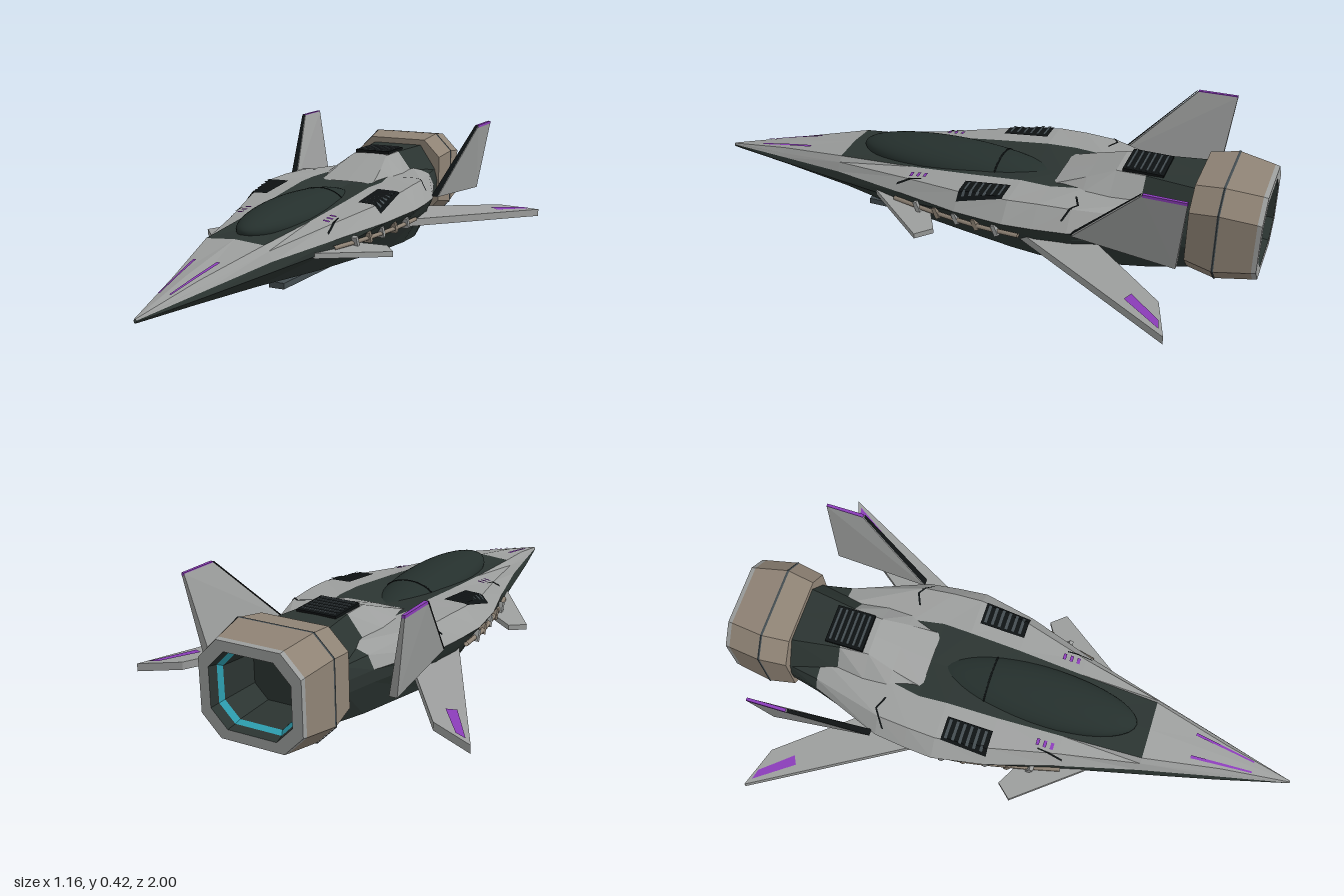
import * as THREE from 'three';

const mat = (name, color) => {
  const m = new THREE.MeshStandardMaterial({ color, side: THREE.DoubleSide });
  m.name = name;
  return m;
};

export function createModel() {
  const root = new THREE.Group();
  root.name = 'starfighter';
  const grey = mat('hull grey', 0x9c9e9d), dark = mat('dark hull', 0x2b3431);
  const taupe = mat('nozzle taupe', 0x8f8375), black = mat('black trim', 0x0e1213);
  const purple = mat('purple marking', 0x8a3cb8), teal = mat('engine glow', 0x2fa3b5);
  const glass = mat('canopy glass', 0x25302d), steel = mat('rail steel', 0x434c50);

  // Flat-shaded mesh from convex polygons; side -1 mirrors it across x
  function add(name, material, faces, side = 1) {
    const pos = [];
    for (const f of faces) {
      for (let i = 1; i < f.length - 1; i++) {
        const tri = side > 0 ? [f[0], f[i], f[i + 1]] : [f[0], f[i + 1], f[i]];
        for (const p of tri) pos.push(p[0] * side, p[1], p[2]);
      }
    }
    const g = new THREE.BufferGeometry();
    g.setAttribute('position', new THREE.Float32BufferAttribute(pos, 3));
    g.computeVertexNormals();
    const mesh = new THREE.Mesh(g, material);
    mesh.name = name;
    root.add(mesh);
    return mesh;
  }
  const both = (name, material, faces) => {
    add(name + 'Left', material, faces, 1);
    add(name + 'Right', material, faces, -1);
  };

  // Quads joining successive rows of points
  const skin = (rows) => {
    const out = [];
    for (let i = 0; i < rows.length - 1; i++)
      for (let j = 0; j < rows[i].length - 1; j++)
        out.push([rows[i][j], rows[i + 1][j], rows[i + 1][j + 1], rows[i][j + 1]]);
    return out;
  };

  // Convex solid between two matching outlines, all faces turned outward
  function prism(a, b) {
    const mean = (ps) => [0, 1, 2].map((k) => ps.reduce((s, p) => s + p[k], 0) / ps.length);
    const c = new THREE.Vector3(...mean([...a, ...b]));
    const faces = [a, b, ...a.map((p, i) => {
      const n = (i + 1) % a.length;
      return [p, b[i], b[n], a[n]];
    })];
    return faces.map((f) => {
      const [p, q, r] = f.map((v) => new THREE.Vector3(...v));
      const normal = q.sub(p).cross(r.sub(p));
      return normal.dot(new THREE.Vector3(...mean(f)).sub(c)) < 0 ? [...f].reverse() : f;
    });
  }

  // Half sections: z, then bottom edge, side, shell edge, shell crease, shell inner edge, centre height
  const sections = [
    [1.0, [0.002, 0.047], [0.004, 0.052], [0.004, 0.055], [0.003, 0.058], [0.002, 0.06], 0.06],
    [0.75, [0.035, 0.04], [0.073, 0.07], [0.066, 0.086], [0.058, 0.098], [0.045, 0.114], 0.122],
    [0.48, [0.08, 0.034], [0.142, 0.09], [0.135, 0.12], [0.12, 0.15], [0.105, 0.168], 0.176],
    [0.2, [0.15, 0.03], [0.212, 0.11], [0.212, 0.14], [0.18, 0.182], [0.118, 0.192], 0.188],
    [-0.03, [0.19, 0.028], [0.262, 0.128], [0.285, 0.16], [0.24, 0.212], [0.13, 0.218], 0.2],
    [-0.21, [0.22, 0.028], [0.29, 0.138], [0.32, 0.175], [0.265, 0.235], [0.135, 0.238], 0.212],
    [-0.31, [0.23, 0.028], [0.295, 0.14], [0.312, 0.176], [0.26, 0.24], [0.14, 0.24], 0.22],
    [-0.42, [0.228, 0.028], [0.28, 0.142], [0.298, 0.178], [0.25, 0.24], [0.12, 0.246], 0.23],
    [-0.67, [0.16, 0.03], [0.198, 0.14], [0.2, 0.18], [0.18, 0.222], [0.11, 0.245], 0.24],
    [-0.78, [0.12, 0.034], [0.17, 0.14], [0.172, 0.18], [0.16, 0.222], [0.11, 0.24], 0.24],
  ];
  const rows = sections.map(([z, b, s, w, m, i, c]) =>
    [[0, b[1], z], [...b, z], [...s, z], [...w, z], [...m, z], [...i, z], [0, c, z]]);
  const part = (r0, r1, c0, c1) => skin(rows.slice(r0, r1 + 1).map((r) => r.slice(c0, c1 + 1)));

  // Fuselage
  both('lowerHull', dark, part(0, 9, 0, 3));
  both('nosePanel', grey, part(0, 2, 3, 6));
  both('shoulderShell', grey, part(2, 8, 3, 5));
  both('cockpitDeck', dark, part(2, 9, 5, 6));
  both('engineNeck', dark, part(8, 9, 3, 5));

  // Height of the upper shell at x, z
  function topY(x, z) {
    let k = 0;
    while (k < rows.length - 2 && rows[k + 1][0][2] > z) k++;
    const t = (rows[k][0][2] - z) / (rows[k][0][2] - rows[k + 1][0][2]);
    const prof = [3, 4, 5, 6].map((j) =>
      [0, 1].map((a) => rows[k][j][a] + (rows[k + 1][j][a] - rows[k][j][a]) * t));
    for (let j = 0; j < 3; j++) {
      const [p, q] = [prof[j], prof[j + 1]];
      if (x >= q[0]) return p[1] + (q[1] - p[1]) * Math.min(1, Math.max(0, (p[0] - x) / (p[0] - q[0])));
    }
    return prof[3][1];
  }
  // Thin painted quad draped on the shell; corners are [x, z]
  function drape(name, material, [a, b, c, d], lift = 0.004, n = 8) {
    const mix = (p, q, t) => [p[0] + (q[0] - p[0]) * t, p[1] + (q[1] - p[1]) * t];
    const grid = Array.from({ length: n + 1 }, (_, i) => Array.from({ length: n + 1 }, (_, j) => {
      const [x, z] = mix(mix(a, b, j / n), mix(d, c, j / n), i / n);
      return [x, topY(x, z) + lift, z];
    }));
    both(name, material, skin(grid));
  }
  const rect = (x0, x1, z0, z1) => [[x1, z1], [x0, z1], [x0, z0], [x1, z0]];

  // Shoulder vents with slats
  drape('shoulderVent', black, rect(0.18, 0.265, -0.19, -0.03), 0.005);
  for (let i = 0; i < 6; i++) {
    const z = -0.18 + i * 0.025;
    drape('shoulderVentSlat', steel, rect(0.188, 0.257, z, z + 0.01), 0.009, 4);
  }
  // Purple markings and panel lines
  drape('noseStripe', purple, [[0.048, 0.64], [0.037, 0.64], [0.016, 0.86], [0.022, 0.86]]);
  for (const z of [0.12, 0.145, 0.17]) drape('shoulderMark', purple, rect(0.152, 0.175, z, z + 0.011));
  drape('panelLineInner', black, [[0.18, -0.41], [0.18, -0.417], [0.225, -0.437], [0.225, -0.43]]);
  drape('panelLineOuter', black, [[0.225, -0.43], [0.225, -0.437], [0.28, -0.4], [0.28, -0.393]]);
  drape('cheekLine', black, [[0.188, 0.13], [0.183, 0.13], [0.19, 0.22], [0.195, 0.22]]);

  // Spine hump running into the engine neck
  const hump = [
    [[0.112, 0.222, -0.31], [0.105, 0.232, -0.31], [0, 0.234, -0.31]],
    [[0.14, 0.24, -0.42], [0.088, 0.272, -0.42], [0, 0.274, -0.42]],
    [[0.14, 0.243, -0.51], [0.068, 0.306, -0.51], [0, 0.308, -0.51]],
    [[0.13, 0.238, -0.61], [0.075, 0.31, -0.61], [0, 0.312, -0.61]],
    [[0.165, 0.22, -0.78], [0.1, 0.315, -0.78], [0, 0.315, -0.78]],
  ];
  both('spineHump', grey, skin(hump.slice(0, 4)));
  both('spineNeck', dark, skin(hump.slice(3)));

  const box = (name, material, w, h, d, x, y, z) => {
    const m = new THREE.Mesh(new THREE.BoxGeometry(w, h, d), material);
    m.name = name;
    m.position.set(x, y, z);
    root.add(m);
    return m;
  };
  box('spineVent', black, 0.138, 0.014, 0.135, 0, 0.312, -0.598);
  for (let i = 0; i < 6; i++) box('spineVentSlat', steel, 0.12, 0.006, 0.008, 0, 0.32, -0.65 + i * 0.021);

  // Canopy and its frame hoop
  const canopy = new THREE.Mesh(new THREE.SphereGeometry(1, 40, 24), glass);
  canopy.name = 'canopy';
  canopy.scale.set(0.11, 0.066, 0.362);
  canopy.position.set(0, 0.186, 0.07);
  root.add(canopy);
  const hoop = new THREE.Mesh(new THREE.TorusGeometry(0.098, 0.003, 6, 32, Math.PI), black);
  hoop.name = 'canopyFrame';
  hoop.scale.y = 0.6;
  hoop.position.set(0, 0.186, -0.095);
  root.add(hoop);

  // Wings
  const plate = (pts, yAt, half) => prism(...[half, -half].map((o) => pts.map(([x, z]) => [x, yAt(x) + o, z])));
  const wingY = (x) => 0.12 - (x - 0.2) * 0.105;
  both('wing', grey, plate([[0.2, -0.14], [0.27, -0.26], [0.58, -0.81], [0.44, -0.76], [0.18, -0.43]], wingY, 0.013));
  both('wingStripe', purple, [[[0.555, -0.79], [0.52, -0.78], [0.435, -0.675], [0.465, -0.66]]
    .map(([x, z]) => [x, wingY(x) + 0.016, z])]);
  // Canards
  both('canard', grey, plate([[0.15, 0.33], [0.19, 0.3], [0.36, 0.08], [0.315, 0.03], [0.16, 0.12]],
    (x) => 0.106 - (x - 0.18) * 0.13, 0.009));

  // Canted tail fins: x, y, z, half thickness
  const fin = [[0.297, 0.18, -0.44, 0.012], [0.371, 0.42, -0.67, 0.006], [0.373, 0.422, -0.805, 0.005], [0.325, 0.165, -0.78, 0.013]];
  const finSide = (s) => fin.map(([x, y, z, h]) => [x + s * h, y, z]);
  const [finOut, finIn] = [finSide(1), finSide(-1)];
  both('tailFin', grey, prism(finOut, finIn));
  const ahead = ([x, y, z]) => [x, y + 0.002, z + 0.004];
  both('finLeadingEdge', black, [[finOut[0], finOut[1], finIn[1], finIn[0]].map(ahead)]);
  both('finTip', purple, prism([finOut[1], finOut[2], finIn[2], finIn[1]].map(([x, y, z]) => [x, y + 0.003, z]),
    [finOut[1], finOut[2], finIn[2], finIn[1]].map(([x, y, z]) => [x, y - 0.006, z])));

  // Octagonal engine nozzle
  const oct = (w, h, z, c = 0.065) => {
    const y = 0.184;
    const q = [[w, -h + c], [w, h - c], [w - c, h], [c - w, h], [-w, h - c], [-w, c - h], [c - w, -h], [w - c, -h]];
    return [...q, q[0]].map(([px, py]) => [px, y + py, z]);
  };
  add('nozzleShell', taupe, skin([oct(0.1, 0.09, -0.775), oct(0.18, 0.152, -0.775), oct(0.192, 0.167, -0.868), oct(0.174, 0.153, -0.985)]));
  add('nozzleSeam', steel, skin([oct(0.192, 0.168, -0.864), oct(0.194, 0.169, -0.868), oct(0.192, 0.168, -0.872)]));
  add('nozzleRim', grey, skin([oct(0.174, 0.153, -0.985), oct(0.172, 0.15, -1), oct(0.138, 0.118, -1, 0.055)]));
  add('nozzleInner', dark, skin([oct(0.138, 0.118, -1, 0.055), oct(0.132, 0.112, -0.97, 0.053)]));
  add('nozzleGlow', teal, skin([oct(0.132, 0.112, -0.97, 0.053), oct(0.122, 0.102, -0.955, 0.05)]));
  add('nozzleThroat', dark, skin([oct(0.122, 0.102, -0.955, 0.05), oct(0.11, 0.092, -0.83, 0.045), oct(0.001, 0.001, -0.83, 0)]));

  for (const s of [-1, 1]) {
    // Belly rails
    box('bellyRail', steel, 0.054, 0.02, 0.85, s * 0.086, 0.012, -0.055);
    // Side piping and brackets under the shell edge
    const pipe = new THREE.Mesh(new THREE.TubeGeometry(new THREE.CatmullRomCurve3([
      [0.212, 0.115, 0.22], [0.25, 0.118, 0.06], [0.285, 0.125, -0.12], [0.296, 0.13, -0.26],
    ].map(([x, y, z]) => new THREE.Vector3(s * x, y, z))), 16, 0.008, 6), taupe);
    pipe.name = 'sidePipe';
    root.add(pipe);
    for (let i = 0; i < 5; i++) {
      const z = 0.12 - i * 0.075;
      const b = box('sideBracket', i % 2 ? taupe : grey, 0.03, 0.04, 0.014, s * (0.237 + i * 0.013), 0.12 + i * 0.003, z);
      b.rotation.x = 0.4;
    }
  }
  return root;
}
